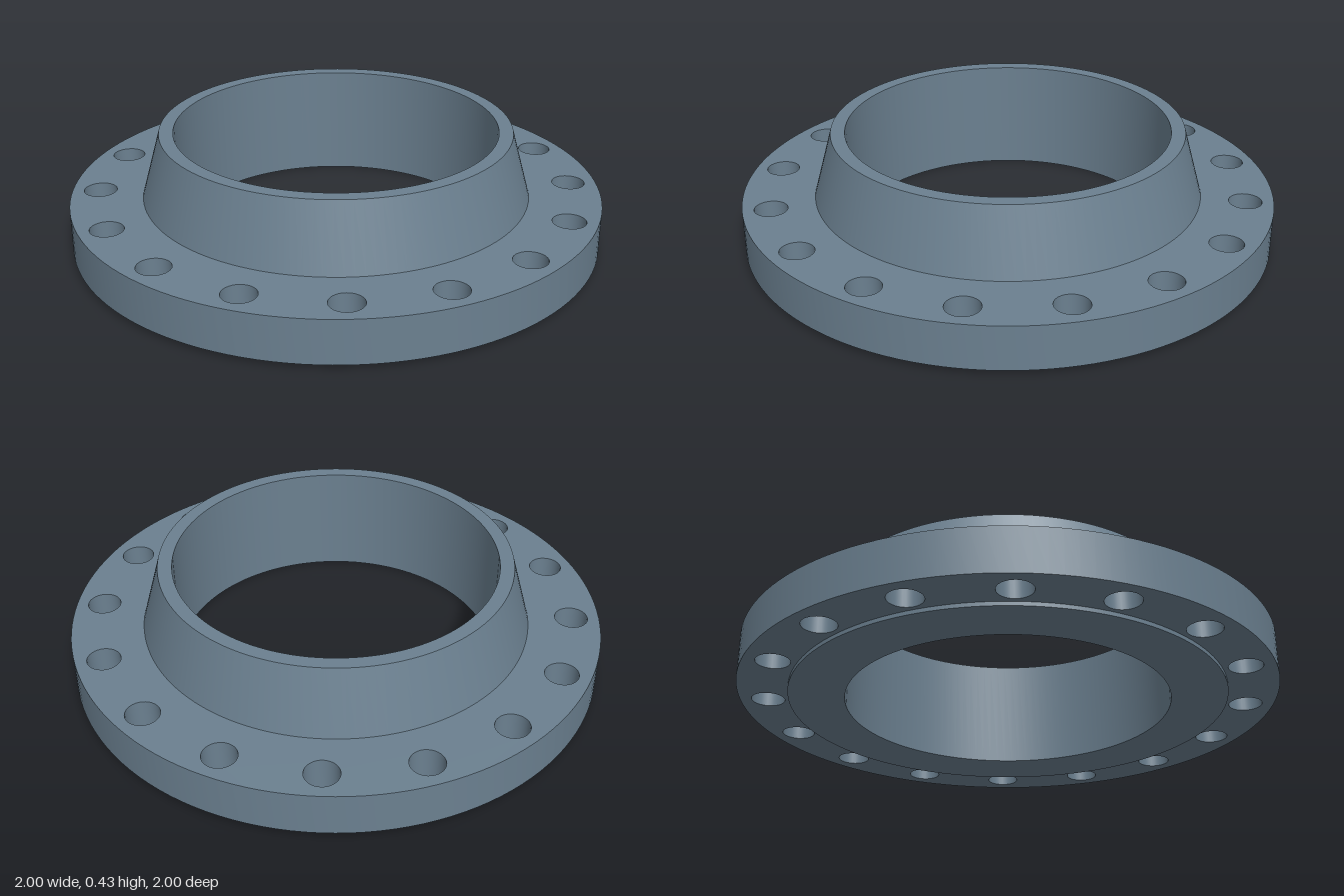
import * as THREE from 'three';
import { toCreasedNormals } from 'three/addons/utils/BufferGeometryUtils.js';

const SEGMENTS = 128, HOLE_SEGMENTS = 32;
const BOLTS = 16, BOLT_CIRCLE = 0.895, HOLE_R = 0.062;
const BOTTOM = 0.015, TOP = 0.18; // heights of the flange plate
const HUB_BASE_R = 0.73, HUB_TOP_R = 0.66, BORE_R = 0.607, FACE_R = 0.815, HEIGHT = 0.428;

const boltCentres = Array.from({ length: BOLTS }, (_, i) => {
  const a = (i / BOLTS) * Math.PI * 2;
  return [BOLT_CIRCLE * Math.cos(a), BOLT_CIRCLE * Math.sin(a)];
});

function circle(radius, segments, cx = 0, cy = 0) {
  return Array.from({ length: segments }, (_, i) => {
    const a = (i / segments) * Math.PI * 2;
    return new THREE.Vector2(cx + radius * Math.cos(a), cy + radius * Math.sin(a));
  });
}

// Revolved profile, smooth round the axis with sharp profile corners
function turned(profile, segments) {
  const points = profile.map(([r, y]) => new THREE.Vector2(r, y));
  return toCreasedNormals(new THREE.LatheGeometry(points, segments), Math.PI / 6);
}

// Flat ring drilled with the bolt holes
function drilledRing(innerRadius) {
  const shape = new THREE.Shape(circle(1, SEGMENTS));
  shape.holes.push(new THREE.Path(circle(innerRadius, SEGMENTS)));
  for (const [x, y] of boltCentres) {
    shape.holes.push(new THREE.Path(circle(HOLE_R, HOLE_SEGMENTS, x, y)));
  }
  return new THREE.ShapeGeometry(shape);
}

export function createModel() {
  const model = new THREE.Group();
  model.name = 'weldNeckFlange';
  const material = new THREE.MeshStandardMaterial({ color: 0x6b8090 });

  const add = (name, geometry, parent = model) => {
    const mesh = new THREE.Mesh(geometry, material);
    mesh.name = name;
    parent.add(mesh);
    return mesh;
  };

  // Tapered hub, bore and raised sealing face in one continuous profile
  add('hubBoreAndRaisedFace', turned([
    [HUB_BASE_R, TOP], [HUB_TOP_R, HEIGHT], [BORE_R, HEIGHT],
    [BORE_R, 0], [FACE_R, 0], [FACE_R, BOTTOM],
  ], SEGMENTS));

  // Flange plate: outer rim, upper face and lower face
  add('flangeRim', turned([[1, BOTTOM], [1, TOP]], SEGMENTS));
  add('flangeTop', drilledRing(HUB_BASE_R).rotateX(-Math.PI / 2).translate(0, TOP, 0));
  add('flangeUnderside', drilledRing(FACE_R).rotateX(Math.PI / 2).translate(0, BOTTOM, 0));

  // Bolt hole walls, facing inward
  const holes = new THREE.Group();
  holes.name = 'boltHoles';
  model.add(holes);
  const wall = turned([[HOLE_R, TOP], [HOLE_R, BOTTOM]], HOLE_SEGMENTS);
  for (const [x, z] of boltCentres) add('boltHole', wall, holes).position.set(x, 0, z);

  return model;
}
